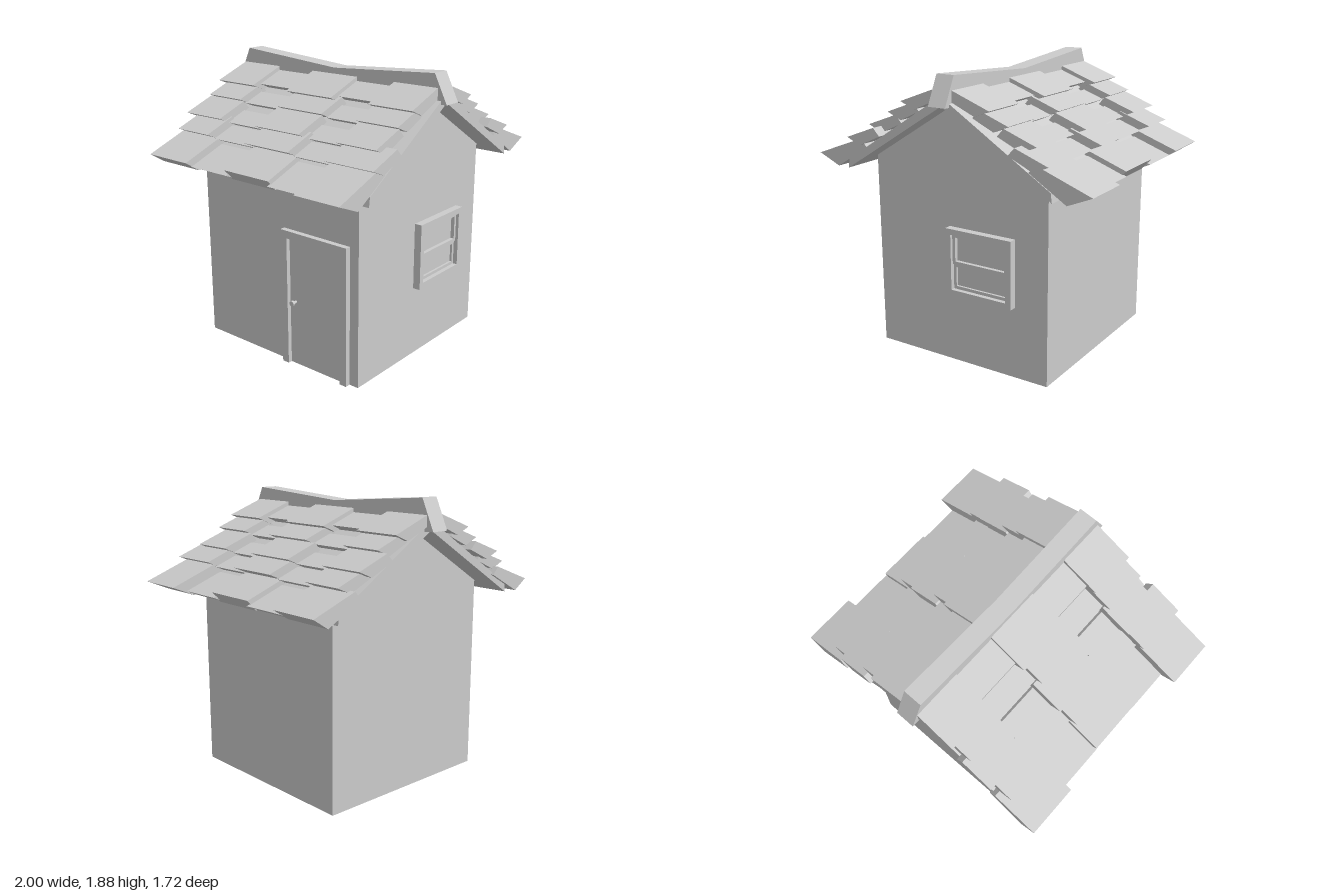
import * as THREE from 'three';

const mat = new THREE.MeshStandardMaterial({ color: 0xcccccc, flatShading: true });
const thin = new THREE.MeshStandardMaterial({ color: 0xcccccc, flatShading: true, side: THREE.DoubleSide });

function add(parent, name, geometry, material = mat) {
  const mesh = new THREE.Mesh(geometry, material);
  mesh.name = name;
  parent.add(mesh);
  return mesh;
}

// Box given by its limits on each axis
function box(parent, name, x0, x1, y0, y1, z0, z1) {
  const mesh = add(parent, name, new THREE.BoxGeometry(x1 - x0, y1 - y0, z1 - z0));
  mesh.position.set((x0 + x1) / 2, (y0 + y1) / 2, (z0 + z1) / 2);
}

const shapeOf = (points) => new THREE.Shape(points.map(([x, y]) => new THREE.Vector2(x, y)));

// Profile in x, y drawn out from z0 to z1
function prism(parent, name, points, z0, z1) {
  const geometry = new THREE.ExtrudeGeometry(shapeOf(points), { depth: z1 - z0, bevelEnabled: false });
  add(parent, name, geometry.translate(0, 0, z0));
}

// Rectangular frame on the front wall, made of four bars
function frontFrame(parent, name, x0, x1, y0, y1, w, z0, z1) {
  box(parent, name, x0, x0 + w, y0, y1, z0, z1);
  box(parent, name, x1 - w, x1, y0, y1, z0, z1);
  box(parent, name, x0 + w, x1 - w, y0, y0 + w, z0, z1);
  box(parent, name, x0 + w, x1 - w, y1 - w, y1, z0, z1);
}

const HALF = 0.64, BACK = -0.62, FRONT = 0.665, EAVE = 1.293, APEX = 1.69;

// Thin walls, open underneath
function buildWalls() {
  const walls = new THREE.Group();
  walls.name = 'walls';
  const gable = [[-HALF, 0], [HALF, 0], [HALF, EAVE], [0, APEX], [-HALF, EAVE]];
  add(walls, 'frontWall', new THREE.ShapeGeometry(shapeOf(gable)), thin).position.z = FRONT;
  const back = add(walls, 'backWall', new THREE.ShapeGeometry(shapeOf(gable)), thin);
  back.rotation.y = Math.PI;
  back.position.z = BACK;
  for (const s of [-1, 1]) {
    const wall = add(walls, 'sideWall', new THREE.PlaneGeometry(FRONT - BACK, EAVE), thin);
    wall.rotation.y = s * Math.PI / 2;
    wall.position.set(s * HALF, EAVE / 2, (FRONT + BACK) / 2);
  }
  return walls;
}

function buildWindow() {
  const g = new THREE.Group();
  g.name = 'window';
  frontFrame(g, 'windowFrame', -0.07, 0.41, 0.47, 0.91, 0.038, 0.63, 0.715);
  frontFrame(g, 'upperSash', -0.032, 0.372, 0.675, 0.872, 0.02, 0.65, 0.695);
  frontFrame(g, 'lowerSash', -0.032, 0.372, 0.508, 0.675, 0.02, 0.65, 0.685);
  box(g, 'windowPane', -0.02, 0.36, 0.52, 0.86, 0.66, 0.67);
  return g;
}

function buildDoor() {
  const g = new THREE.Group();
  g.name = 'door';
  const x0 = -0.677, x1 = -0.61, z0 = 0.075, z1 = 0.6, w = 0.05;
  box(g, 'doorPost', x0, x1, 0, 0.91, z0, z0 + w);
  box(g, 'doorPost', x0, x1, 0, 0.91, z1 - w, z1);
  box(g, 'doorLintel', x0, x1, 0.91 - w, 0.91, z0 + w, z1 - w);
  box(g, 'doorPanel', -0.648, -0.63, 0, 0.86, z0 + w, z1 - w);
  const stem = add(g, 'knobStem', new THREE.CylinderGeometry(0.009, 0.009, 0.04, 8));
  stem.rotation.z = Math.PI / 2;
  stem.position.set(-0.66, 0.435, 0.17);
  const knob = add(g, 'knob', new THREE.CylinderGeometry(0.018, 0.018, 0.016, 8));
  knob.rotation.z = Math.PI / 2;
  knob.position.set(-0.682, 0.435, 0.17);
  return g;
}

const SLOPE = 0.37;

// One shingle: tip at (x, y), undercut by (dx, dy), running up the roof
function shingle(parent, side, x, y, run, dx, dy, z0, z1) {
  const points = [
    [x, y], [x - run, y + run * SLOPE],
    [x - run - 0.045, y + run * SLOPE - 0.05],
    [x - dx, y - dy],
  ].map(([px, py]) => [side * px, py]);
  prism(parent, 'shingle', points, z0, z1);
}

// Rows from the eave up: raised tip, lower tip, and the z limits of the three raised shingles
const ROWS = [
  { hi: [1.0, 1.293], lo: [0.9, 1.26], run: 0.36, z: [-0.81, -0.465, -0.165, 0.2, 0.49, 0.815] },
  { hi: [0.735, 1.43], lo: [0.675, 1.395], run: 0.22, z: [-0.77, -0.49, -0.165, 0.2, 0.485, 0.835] },
  { hi: [0.615, 1.512], lo: [0.545, 1.478], run: 0.22, z: [-0.815, -0.5, -0.19, 0.18, 0.465, 0.76] },
  { hi: [0.44, 1.612], lo: [0.385, 1.582], run: 0.2, z: [-0.78, -0.49, -0.155, 0.21, 0.48, 0.78] },
  { hi: [0.322, 1.69], lo: [0.25, 1.69], run: 0.26, z: [-0.81, -0.485, -0.185, 0.185, 0.475, 0.795] },
];

function buildRoof() {
  const roof = new THREE.Group();
  roof.name = 'roof';
  for (const side of [-1, 1]) {
    // Sloping slab under the shingles
    const slab = [[0, APEX], [0.75, 1.225], [0.742, 1.285], [0, 1.75]];
    prism(roof, 'roofSlab', slab.map(([x, y]) => [side * x, y]), -0.79, 0.82);

    ROWS.forEach(({ hi, lo, run, z }, row) => {
      for (let i = 0; i < 5; i++) {
        const raised = i % 2 === 0;
        let [x, y] = raised ? hi : lo;
        let dx = raised ? 0.1 : 0.08, dy = raised ? 0.043 : 0.035;
        if (row === 0 && raised) {
          // Eave shingles are thicker and uneven in length
          x = [0.945, 0, 0.9, 0, 1.0][i];
          dx = x - 0.84;
          dy = 0.068;
        }
        const length = row === 4 ? x - 0.045 : run - (hi[0] - x);
        const overlap = raised ? 0 : 0.01;
        shingle(roof, side, x, y, length, dx, dy, z[i] - overlap, z[i + 1] + overlap);
      }
    });
  }

  // Sagging ridge beam with splayed ends
  const ridge = [[-0.86, 1.69], [0, 1.655], [0.86, 1.69], [0.77, 1.885], [0, 1.825], [-0.77, 1.872]];
  const beam = new THREE.ExtrudeGeometry(shapeOf(ridge), { depth: 0.124, bevelEnabled: false });
  add(roof, 'ridgeBeam', beam.translate(0, 0, -0.062).rotateY(Math.PI / 2));
  return roof;
}

export function createModel() {
  const house = new THREE.Group();
  house.name = 'house';
  house.add(buildWalls(), buildWindow(), buildDoor(), buildRoof());
  return house;
}
